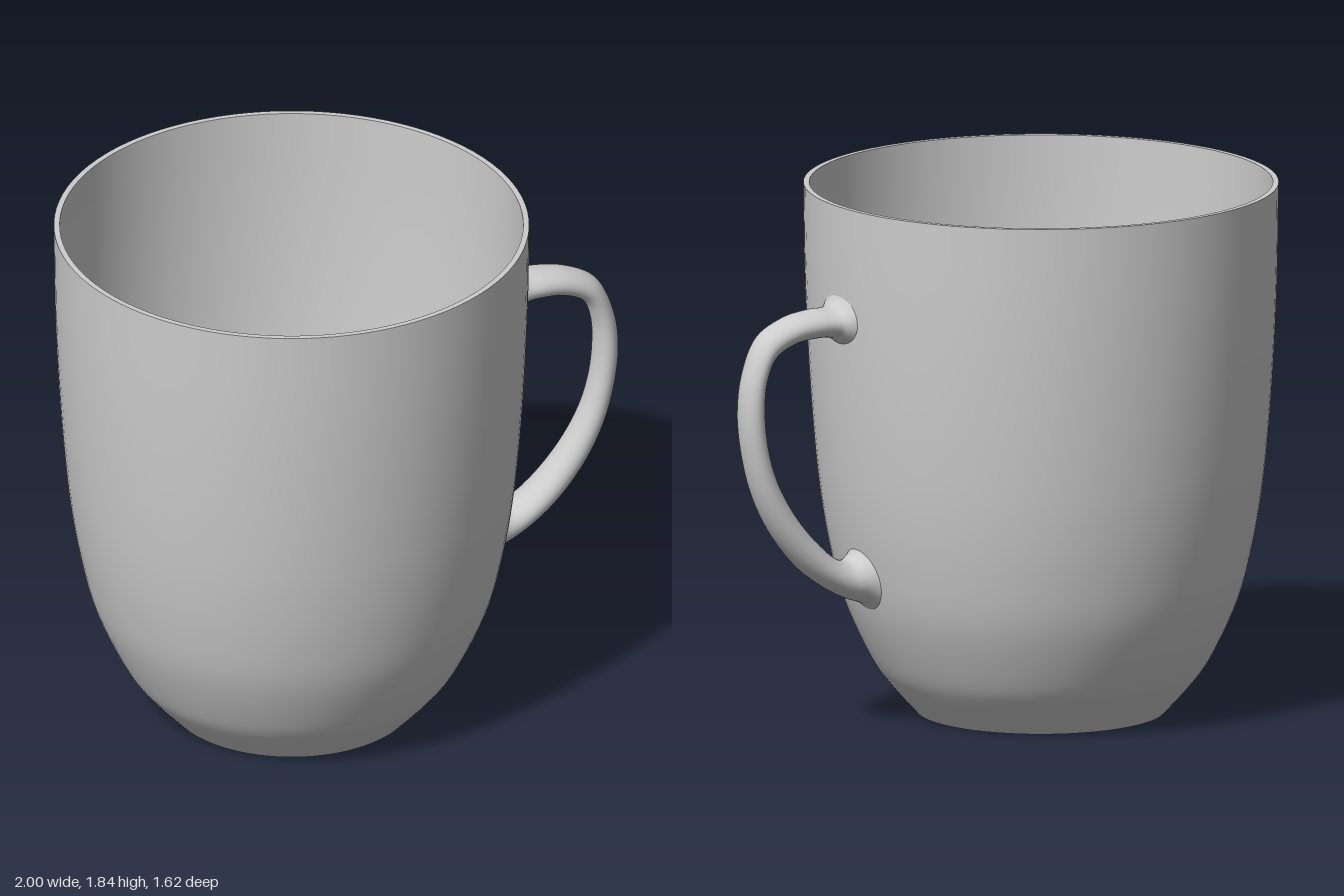
import * as THREE from 'three';

const CENTRE_X = -0.19;
const material = new THREE.MeshStandardMaterial({ color: 0xcccccc });
material.name = 'grey ceramic';

// Smooth curve through a few [radius, height] points
const smooth = (pts, n) =>
  new THREE.SplineCurve(pts.map(([r, y]) => new THREE.Vector2(r, y))).getPoints(n);

function turned(name, points) {
  const mesh = new THREE.Mesh(new THREE.LatheGeometry(points, 96), material);
  mesh.name = name;
  mesh.position.x = CENTRE_X;
  return mesh;
}

const straight = (pts) => pts.map(([r, y]) => new THREE.Vector2(r, y));

// Handle stations: outer edge x, y, inner edge x, y, half width in z
const STATIONS = [
  [0.610, 1.530, 0.600, 1.350, 0.115],
  [0.626, 1.505, 0.622, 1.365, 0.100],
  [0.648, 1.488, 0.648, 1.382, 0.086],
  [0.720, 1.485, 0.720, 1.386, 0.079],
  [0.815, 1.468, 0.800, 1.374, 0.071],
  [0.920, 1.412, 0.875, 1.332, 0.064],
  [0.980, 1.290, 0.908, 1.255, 0.060],
  [1.000, 1.150, 0.915, 1.150, 0.060],
  [0.985, 1.000, 0.900, 1.020, 0.060],
  [0.943, 0.850, 0.864, 0.905, 0.063],
  [0.870, 0.710, 0.800, 0.790, 0.068],
  [0.765, 0.585, 0.710, 0.680, 0.075],
  [0.665, 0.510, 0.630, 0.612, 0.082],
  [0.585, 0.467, 0.585, 0.600, 0.089],
  [0.525, 0.445, 0.555, 0.615, 0.099],
  [0.485, 0.415, 0.532, 0.645, 0.112],
];

// Sweep an ellipse spanning the outer and inner edge curves
function handleGeometry(rings, sides) {
  const curve = (f) => new THREE.CatmullRomCurve3(STATIONS.map(f));
  const outer = curve((s) => new THREE.Vector3(s[0], s[1], s[4]));
  const inner = curve((s) => new THREE.Vector3(s[2], s[3], s[4]));
  const pos = [], index = [];
  for (let i = 0; i <= rings; i++) {
    const o = outer.getPoint(i / rings), n = inner.getPoint(i / rings);
    for (let j = 0; j < sides; j++) {
      const a = (j / sides) * Math.PI * 2, c = Math.cos(a) / 2;
      pos.push((o.x + n.x) / 2 + (o.x - n.x) * c,
        (o.y + n.y) / 2 + (o.y - n.y) * c, o.z * Math.sin(a));
      if (i === rings) continue;
      const p = i * sides + j, q = i * sides + (j + 1) % sides;
      index.push(p, q, p + sides, q, q + sides, p + sides);
    }
  }
  const g = new THREE.BufferGeometry();
  g.setAttribute('position', new THREE.Float32BufferAttribute(pos, 3));
  g.setIndex(index);
  g.computeVertexNormals();
  return g;
}

export function createModel() {
  const mug = new THREE.Group();
  mug.name = 'mug';

  // Recessed underside and the ring it stands on
  mug.add(turned('underside', straight([[0, 0.03], [0.335, 0.03]])));
  mug.add(turned('footBevel', straight([[0.335, 0.03], [0.37, 0]])));
  mug.add(turned('footRing', straight([[0.37, 0], [0.425, 0]])));

  // Outer wall, rim and inner wall, kept apart for crisp edges
  mug.add(turned('outerWall', smooth([[0.425, 0], [0.515, 0.1], [0.585, 0.2],
    [0.675, 0.4], [0.725, 0.6], [0.757, 0.8], [0.777, 1.0], [0.791, 1.2],
    [0.801, 1.4], [0.807, 1.6], [0.81, 1.835]], 50)));
  mug.add(turned('rim', straight([[0.81, 1.835], [0.79, 1.835]])));
  mug.add(turned('innerWall', smooth([[0.79, 1.835], [0.787, 1.6], [0.781, 1.4],
    [0.771, 1.2], [0.757, 1.0], [0.737, 0.8], [0.705, 0.6], [0.652, 0.4],
    [0.555, 0.2], [0.47, 0.11], [0.345, 0.05]], 50)));
  mug.add(turned('insideFloor', straight([[0.345, 0.05], [0, 0.05]])));

  const handle = new THREE.Mesh(handleGeometry(90, 32), material);
  handle.name = 'handle';
  mug.add(handle);
  return mug;
}
